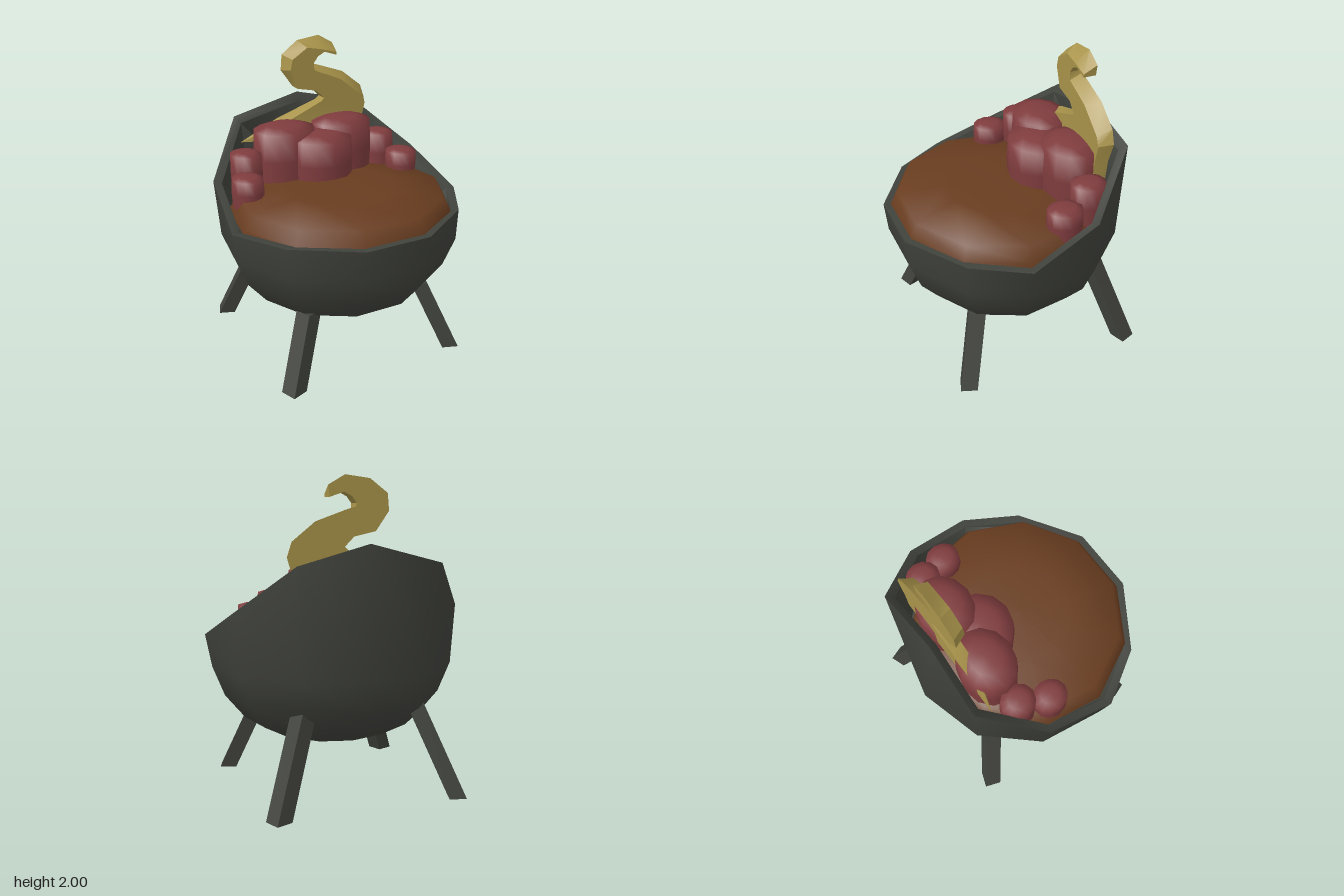
import * as THREE from 'three';
import { toCreasedNormals } from 'three/addons/utils/BufferGeometryUtils.js';

const V2 = (p) => new THREE.Vector2(p[0], p[1]);
const SIDES = 11;
const RX = 0.82, RZ = 0.78;

function material(name, color) {
  const m = new THREE.MeshStandardMaterial({ color });
  m.name = name;
  return m;
}

// Bowl: faceted round pot whose rim sweeps up towards the back
function bowlGeometry() {
  const profile = [
    [0, 0.28], [0.25, 0.297], [0.49, 0.352], [0.715, 0.447], [0.872, 0.6], [0.968, 0.795],
    [1, 1], [0.93, 1], [0.9, 0.95], [0, 0.9],
  ];
  const outer = 6;
  const rim = [
    [0.22, 1, 0.745], [0.615, 1, 0.49], [0.818, 1, 0.155],
    [0.76, 1.18, -0.3], [0.465, 1.48, -0.645], [0, 1.6, -0.625],
  ];
  const g = new THREE.LatheGeometry(profile.map(V2), SIDES, Math.PI / SIDES);
  g.scale(RX, 1, RZ);
  const pos = g.attributes.position;
  for (let i = 0; i <= SIDES; i++) {
    const c = i % SIDES;
    const [x, y, z] = rim[c <= 5 ? c : 10 - c];
    const s = c <= 5 ? 1 : -1;
    const v = i * profile.length + outer;
    pos.setXYZ(v, s * x, y, z);
    pos.setXYZ(v + 1, s * x * 0.935, 1 + (y - 1) * 0.92, z * 0.925);
  }
  return toCreasedNormals(g, 1.0);
}

// Leg: square post sheared outwards from top to foot
function legGeometry(sx, sz, foot, top) {
  const g = new THREE.BoxGeometry(0.11, 1, 0.11);
  const pos = g.attributes.position;
  const c = Math.cos(0.35), s = Math.sin(0.35) * sx * sz;
  for (let i = 0; i < pos.count; i++) {
    const lx = pos.getX(i), lz = pos.getZ(i);
    const p = pos.getY(i) > 0 ? top : foot;
    pos.setXYZ(i, sx * p[0] + lx * c - lz * s, p[1], sz * p[2] + lx * s + lz * c);
  }
  return toCreasedNormals(g, 0.3);
}

// Chunk: bulging wall with a shallow domed top
function chunkGeometry(rx, rz, top) {
  const base = 1.02, shoulder = top - rx * 0.18;
  const pts = [
    [0.95, base], [1, base + (shoulder - base) * 0.55], [0.96, shoulder],
    [0.55, top - rx * 0.05], [0, top],
  ];
  const g = new THREE.LatheGeometry(pts.map(V2), 12);
  g.scale(rx, 1, rz);
  return toCreasedNormals(g, 1.5);
}

// Curl: ribbon of paired edge points; each row is two back points, then the front offsets
function curlGeometry() {
  const stations = [
    [0.23, 1.94, 0.22, 1.87, -0.01, -0.05, 0, 0],
    [0.125, 2.0, 0.13, 1.9, -0.02, -0.08, 0, 0],
    [-0.035, 1.98, 0.08, 1.875, 0.035, -0.04, 0, 0],
    [-0.15, 1.895, 0.05, 1.835, 0.04, -0.025, 0, 0],
    [-0.16, 1.79, 0.055, 1.815, 0.035, 0.01, -0.005, -0.02],
    [-0.075, 1.67, 0.11, 1.8, 0, 0, -0.055, -0.02],
    [0.065, 1.64, 0.31, 1.73, 0, 0, -0.06, -0.03],
    [0.125, 1.58, 0.455, 1.615, 0, 0, -0.035, -0.05],
    [0.1, 1.56, 0.485, 1.525, 0, 0, -0.04, -0.02],
    [-0.2, 1.46, 0.435, 1.38, 0.06, 0, -0.02, 0],
    [-0.47, 1.33, 0.42, 1.25, 0.25, 0, 0, 0],
  ];
  const zf = -0.445, zb = -0.53;
  const pos = [], idx = [];
  for (const [ax, ay, bx, by, dax, day, dbx, dby] of stations) {
    pos.push(ax + dax, ay + day, zf, bx + dbx, by + dby, zf, bx, by, zb, ax, ay, zb);
  }
  const n = stations.length;
  for (let i = 0; i < n - 1; i++) {
    for (let j = 0; j < 4; j++) {
      const a = i * 4 + j, b = i * 4 + ((j + 1) % 4);
      idx.push(a, a + 4, b, b, a + 4, b + 4);
    }
  }
  const e = (n - 1) * 4;
  idx.push(0, 1, 2, 0, 2, 3, e, e + 2, e + 1, e, e + 3, e + 2);
  const g = new THREE.BufferGeometry();
  g.setAttribute('position', new THREE.Float32BufferAttribute(pos, 3));
  g.setIndex(idx);
  return toCreasedNormals(g, 0.5);
}

export function createModel() {
  const group = new THREE.Group();
  group.name = 'cauldron';
  const iron = material('dark iron', 0x40423c);
  const broth = material('brown broth', 0x693d20);
  const meat = material('dark red', 0x7f3c3e);
  const gold = material('dull gold', 0xa8934a);
  gold.side = THREE.DoubleSide;

  const add = (name, geometry, mat, parent = group) => {
    const m = new THREE.Mesh(geometry, mat);
    m.name = name;
    parent.add(m);
    return m;
  };

  add('bowl', bowlGeometry(), iron);

  // Four splayed legs, the back pair reaching higher
  for (const sx of [1, -1]) {
    const side = sx > 0 ? 'left' : 'right';
    add(side + 'FrontLeg', legGeometry(sx, 1, [0.59, 0, 0.495], [0.41, 0.47, 0.355]), iron);
    add(side + 'BackLeg', legGeometry(sx, -1, [0.59, 0, 0.667], [0.37, 0.595, 0.485]), iron);
  }

  // Broth: low dome that fills the bowl
  const soup = new THREE.LatheGeometry(
    [[0.94, 0.97], [0.93, 1.0], [0.865, 1.09], [0.45, 1.118], [0, 1.135]].map(V2),
    SIDES, Math.PI / SIDES);
  soup.scale(0.79, 1, 0.75);
  add('broth', toCreasedNormals(soup, 1.2), broth).position.z = 0.03;

  // Chunks piled at the back
  const chunks = new THREE.Group();
  chunks.name = 'chunks';
  group.add(chunks);
  const chunk = (name, x, z, rx, rz, top) => {
    add(name, chunkGeometry(rx, rz, top), meat, chunks).position.set(x, 0, z);
  };
  chunk('middleChunk', 0, -0.27, 0.222, 0.21, 1.42);
  for (const s of [1, -1]) {
    const side = s > 0 ? 'left' : 'right';
    chunk(side + 'LargeChunk', s * 0.214, -0.38, 0.22, 0.182, 1.475);
    chunk(side + 'SmallChunk', s * 0.505, -0.36, 0.107, 0.117, 1.33);
    chunk(side + 'OuterChunk', s * 0.578, -0.165, 0.105, 0.117, 1.235);
  }

  add('steamCurl', curlGeometry(), gold);
  return group;
}
